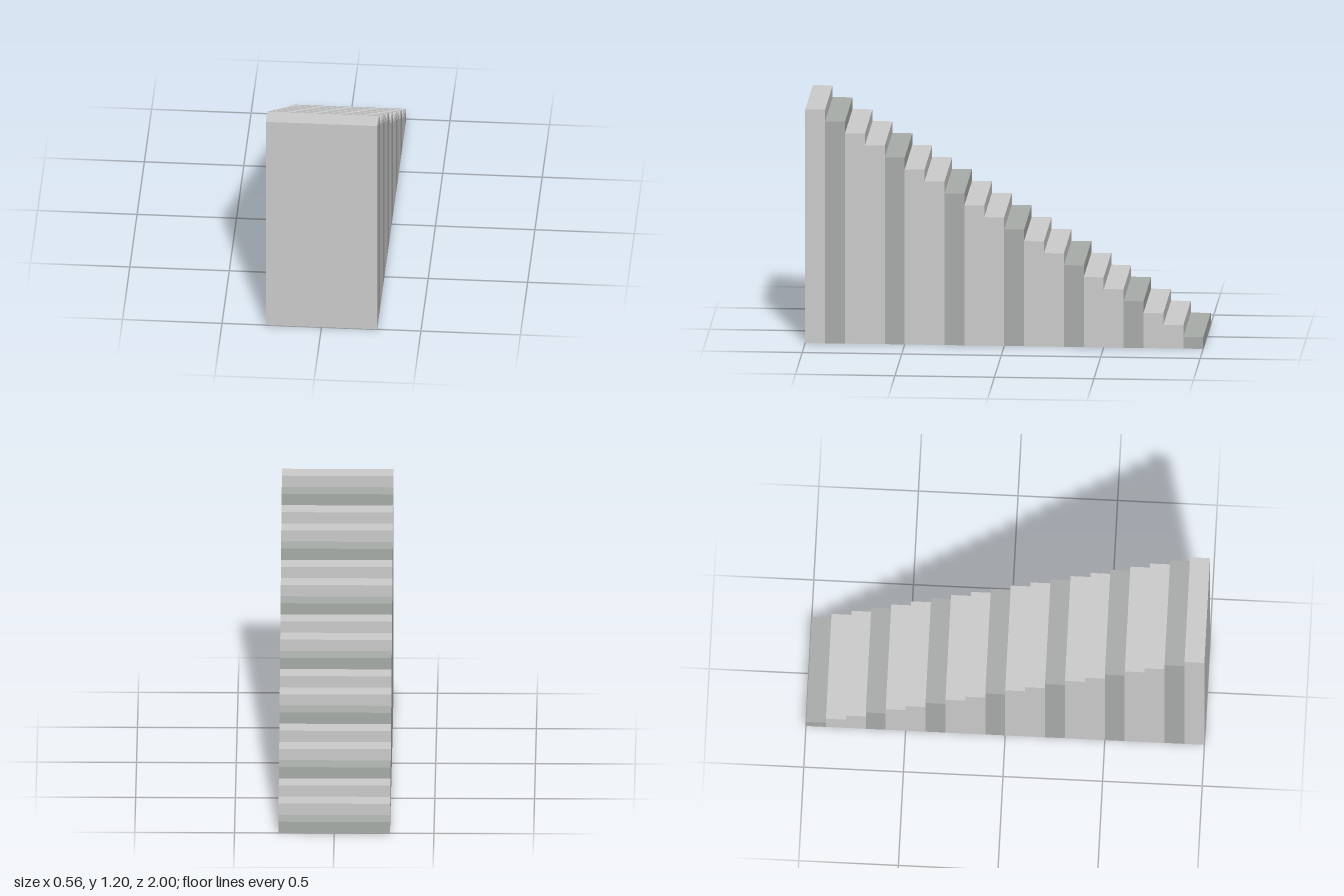
import * as THREE from 'three';

const STEPS = 20;
const WIDTH = 0.56;
const TREAD = 0.1;
const RISE = 0.06;

export function createModel() {
  const model = new THREE.Group();
  model.name = 'staircase';

  const plain = new THREE.MeshStandardMaterial({ color: 0xcccccc });
  const dark = new THREE.MeshStandardMaterial({ color: 0xa8aca9 });

  // Solid steps climbing from the back (-z) to the front (+z); every third one is darker
  for (let i = 0; i < STEPS; i++) {
    const height = RISE * (i + 1);
    const step = new THREE.Mesh(
      new THREE.BoxGeometry(WIDTH, height, TREAD),
      i % 3 === 0 ? dark : plain
    );
    step.name = `step${i + 1}`;
    step.position.set(0, height / 2, -1 + TREAD * (i + 0.5));
    model.add(step);
  }

  return model;
}
